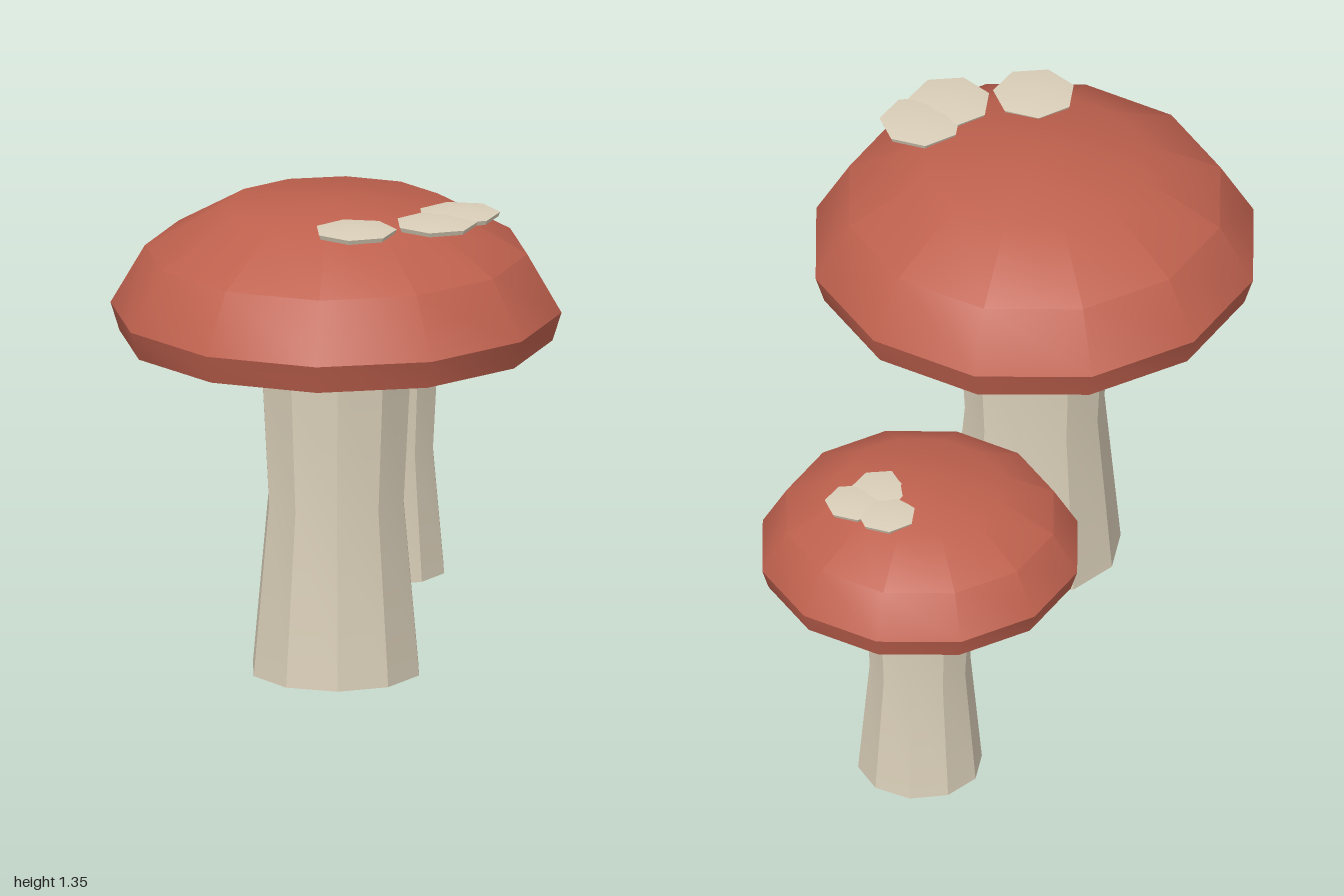
import * as THREE from 'three';
import { toCreasedNormals } from 'three/addons/utils/BufferGeometryUtils.js';

const capRed = new THREE.MeshStandardMaterial({ color: 0xbf614e });
capRed.name = 'capRed';
const paleCream = new THREE.MeshStandardMaterial({ color: 0xd9ceb8 });
paleCream.name = 'paleCream';

// Faceted turned part with a vertex on +x; profile runs from bottom to top
function turned(name, profile, sides, material) {
  const points = profile.map(([r, y]) => new THREE.Vector2(r, y));
  const geometry = new THREE.LatheGeometry(points, sides, Math.PI / 2);
  const mesh = new THREE.Mesh(toCreasedNormals(geometry, 0.6), material);
  mesh.name = name;
  return mesh;
}

function mushroom(name, x, z, scale, spots) {
  const group = new THREE.Group();
  group.name = name;

  // Waisted ten-sided stem
  group.add(turned('stem', [[0, 0], [0.24, 0], [0.195, 0.49], [0.22, 0.96], [0, 0.96]], 10, paleCream));

  // Twelve-sided domed cap with a bevelled rim
  group.add(turned('cap', [
    [0, 0.935], [0.6, 0.955], [0.625, 1.035], [0.53, 1.2], [0.31, 1.325], [0, 1.345],
  ], 12, capRed));

  // Thin seven-sided spots resting on the cap
  spots.forEach(([sx, sz], i) => {
    const spot = turned('spot' + (i + 1), [[0, -0.003], [0.109, 0], [0.115, 0.013], [0, 0.027]], 7, paleCream);
    spot.position.set((sx - x) / scale, 1.323, (sz - z) / scale);
    group.add(spot);
  });

  group.scale.setScalar(scale);
  group.position.set(x, 0, z);
  return group;
}

export function createModel() {
  const model = new THREE.Group();
  model.name = 'mushrooms';
  model.add(mushroom('largeMushroom', -0.375, 0.153, 1, [[-0.58, 0.362], [-0.388, 0.5], [-0.268, 0.492]]));
  model.add(mushroom('smallMushroom', 0.55, -0.333, 0.72, [[0.638, -0.272], [0.712, -0.365], [0.737, -0.265]]));
  return model;
}
